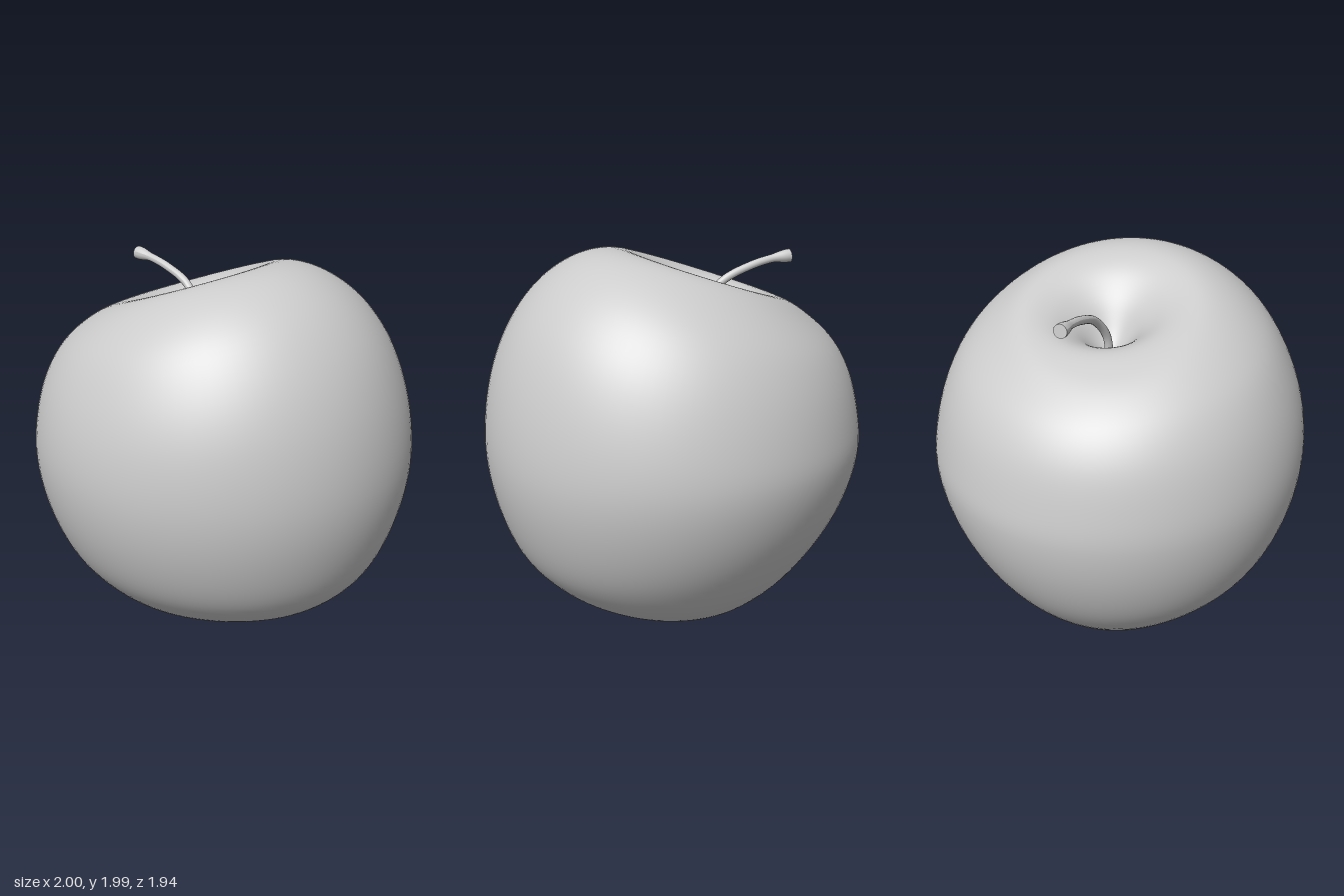
import * as THREE from 'three';
import { mergeVertices } from 'three/addons/utils/BufferGeometryUtils.js';

const material = new THREE.MeshStandardMaterial({ color: 0xcccccc, side: THREE.DoubleSide });

// Smooth profile from the stem pit, over the shoulder, down to the blossom pit
const profile = (pts) => new THREE.CatmullRomCurve3(pts.map(([r, y]) => new THREE.Vector3(r, y, 0)));
const leftSide = profile([[-0.16, 1.55], [-0.09, 1.62], [0.02, 1.8], [0.14, 1.92], [0.28, 1.975], [0.46, 1.955],
  [0.66, 1.84], [0.83, 1.64], [0.95, 1.35], [1, 1], [0.96, 0.7], [0.85, 0.42], [0.69, 0.24], [0.54, 0.15],
  [0.4, 0.1], [0.28, 0.115], [0.15, 0.16]]);
const rightSide = profile([[-0.16, 1.55], [-0.23, 1.6], [-0.34, 1.69], [-0.46, 1.725], [-0.6, 1.68], [-0.72, 1.61],
  [-0.84, 1.5], [-0.93, 1.35], [-0.985, 1.14], [-1, 0.95], [-0.95, 0.69], [-0.83, 0.43], [-0.63, 0.2], [-0.4, 0.035],
  [-0.18, 0.01], [0, 0.07], [0.15, 0.16]]);
const frontSide = profile([[-0.03, 1.55], [0.04, 1.61], [0.15, 1.74], [0.28, 1.83], [0.42, 1.86], [0.58, 1.81],
  [0.75, 1.68], [0.87, 1.49], [0.95, 1.25], [0.97, 0.98], [0.92, 0.7], [0.81, 0.45], [0.65, 0.27], [0.48, 0.16],
  [0.34, 0.11], [0.22, 0.115], [0.1, 0.16]]);
const backSide = profile([[-0.03, 1.55], [-0.1, 1.61], [-0.21, 1.72], [-0.34, 1.79], [-0.47, 1.8], [-0.62, 1.72],
  [-0.78, 1.58], [-0.88, 1.41], [-0.95, 1.18], [-0.97, 0.98], [-0.92, 0.74], [-0.8, 0.48], [-0.61, 0.22], [-0.4, 0.06],
  [-0.2, 0.015], [-0.03, 0.07], [0.1, 0.16]]);

// Fruit body: elliptical rings blended between the four profiles
function bodyGeometry(rings = 96, sides = 96) {
  const pos = [], index = [];
  for (let i = 0; i <= rings; i++) {
    const t = i / rings;
    const [l, r, f, b] = [leftSide, rightSide, frontSide, backSide].map((c) => c.getPoint(t));
    const mean = (l.y + r.y + f.y + b.y) / 4;
    const lobes = 0.012 * Math.exp(-(((t - 0.9) / 0.05) ** 2)); // faint lobes round the blossom pit
    for (let j = 0; j < sides; j++) {
      const a = (j / sides) * Math.PI * 2, c = Math.cos(a), s = Math.sin(a);
      pos.push(
        (l.x + r.x) / 2 + ((l.x - r.x) / 2) * c,
        mean + ((l.y - r.y) / 2) * c + ((f.y - b.y) / 2) * s
          + ((l.y + r.y - f.y - b.y) / 4) * Math.cos(2 * a) + lobes * Math.cos(5 * a),
        (f.x + b.x) / 2 + ((f.x - b.x) / 2) * s);
      if (i < rings) {
        const p = i * sides + j, q = i * sides + ((j + 1) % sides);
        index.push(p, q, p + sides, q, q + sides, p + sides);
      }
    }
  }
  const g = new THREE.BufferGeometry();
  g.setAttribute('position', new THREE.Float32BufferAttribute(pos, 3));
  g.setIndex(index);
  const merged = mergeVertices(g);
  merged.computeVertexNormals();
  return merged;
}

// Stem: bent tube that flares at its cut end
function makeStem() {
  const stem = new THREE.Group();
  stem.name = 'stem';
  const curve = new THREE.CatmullRomCurve3([[-0.16, 1.53, -0.03], [-0.18, 1.68, -0.045], [-0.26, 1.79, -0.09],
    [-0.4, 1.855, -0.135], [-0.52, 1.885, -0.17], [-0.62, 1.895, -0.2]].map((p) => new THREE.Vector3(...p)));
  const segs = 40, sides = 16;
  const g = new THREE.TubeGeometry(curve, segs, 1, sides);
  const radius = (t) => 0.021 + 0.014 * THREE.MathUtils.smoothstep(t, 0.84, 0.98);
  const v = new THREE.Vector3(), p = g.attributes.position;
  for (let i = 0; i < p.count; i++) {
    const t = Math.floor(i / (sides + 1)) / segs, c = curve.getPointAt(t);
    v.fromBufferAttribute(p, i).sub(c).multiplyScalar(radius(t)).add(c);
    p.setXYZ(i, v.x, v.y, v.z);
  }
  g.computeVertexNormals();
  const tube = new THREE.Mesh(g, material);
  tube.name = 'stemShaft';
  const cap = new THREE.Mesh(new THREE.CircleGeometry(radius(1), sides), material);
  cap.name = 'stemEnd';
  cap.position.copy(curve.getPointAt(1));
  cap.lookAt(cap.position.clone().add(curve.getTangentAt(1)));
  stem.add(tube, cap);
  return stem;
}

// One dried sepal: a narrow leaf along +x, cupped and curling away from the fruit
function sepalGeometry(length) {
  const g = new THREE.PlaneGeometry(1, 1, 8, 4);
  const p = g.attributes.position;
  for (let i = 0; i < p.count; i++) {
    const u = p.getX(i) + 0.5, w = p.getY(i) * 2;
    const half = 0.02 * Math.sin(Math.PI * Math.min(0.98, 0.2 + 0.8 * u));
    p.setXYZ(i, 0.02 + u * length, 0.045 * Math.sin(u * 2.2) + 0.008 * w * w, w * half);
  }
  g.computeVertexNormals();
  return g;
}

// Blossom end: ring of sepals around a small collar, facing down
function makeCalyx() {
  const calyx = new THREE.Group();
  calyx.name = 'calyx';
  const collar = new THREE.Mesh(new THREE.TorusGeometry(0.026, 0.009, 8, 20), material);
  collar.name = 'calyxCollar';
  collar.rotation.x = Math.PI / 2;
  collar.position.y = 0.015;
  calyx.add(collar);
  for (let i = 0; i < 6; i++) {
    const sepal = new THREE.Mesh(sepalGeometry(0.075 + 0.015 * (i % 2)), material);
    sepal.name = 'sepal';
    sepal.rotation.y = (i / 6) * Math.PI * 2 + 0.25;
    calyx.add(sepal);
  }
  calyx.position.set(0.15, 0.15, 0.1);
  calyx.quaternion.setFromUnitVectors(new THREE.Vector3(0, 1, 0), new THREE.Vector3(0.2, -1, 0.1).normalize());
  return calyx;
}

export function createModel() {
  const model = new THREE.Group();
  model.name = 'apple';
  const body = new THREE.Mesh(bodyGeometry(), material);
  body.name = 'fruitBody';
  model.add(body, makeStem(), makeCalyx());
  return model;
}
